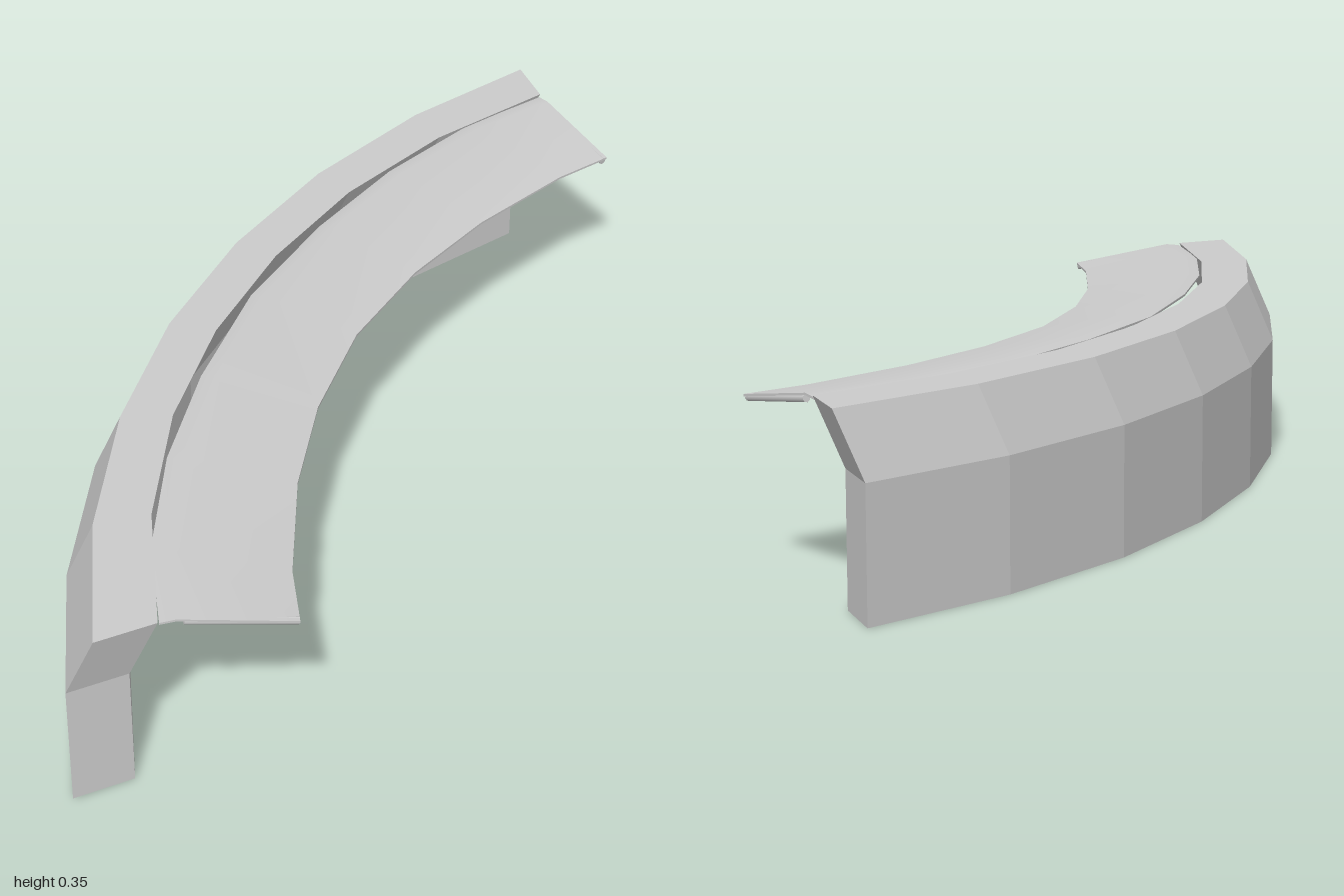
import * as THREE from 'three';
import { toCreasedNormals } from 'three/addons/utils/BufferGeometryUtils.js';

// Plan outlines from the middle to one end, as [x, z]
const WALL_OUTER = [[-0.295, 0.148], [-0.25, 0.44], [-0.157, 0.73], [-0.023, 0.993]];
const WALL_INNER = [[-0.207, 0.135], [-0.167, 0.4], [-0.08, 0.665], [0.05, 0.91]];
const ROOF_BACK = [[-0.148, 0], [-0.124, 0.27], [-0.076, 0.51], [0.005, 0.74], [0.1, 0.905]];
const ROOF_FRONT = [[0.065, 0], [0.088, 0.235], [0.142, 0.45], [0.228, 0.67], [0.29, 0.78]];
const LEAN = [0.05, -0.01]; // sideways offset of the wall top

// Mirror a half outline so it runs from -z to +z
function mirrored(half) {
  const other = half.filter(([, z]) => z > 0).reverse().map(([x, z]) => [x, -z]);
  return [...other, ...half];
}

// Skin a row of closed cross-sections and cap both ends (fan from corner 4)
function loft(sections) {
  const pos = [];
  const tri = (...pts) => pts.forEach((p) => pos.push(...p));
  const n = sections[0].length;
  for (let i = 0; i < sections.length - 1; i++) {
    const s = sections[i], t = sections[i + 1];
    for (let j = 0; j < n; j++) {
      const k = (j + 1) % n;
      tri(s[j], t[j], t[k]);
      tri(s[j], t[k], s[k]);
    }
  }
  const first = sections[0], last = sections[sections.length - 1];
  for (let m = 1; m < n - 1; m++) {
    const a = (4 + m) % n, b = (5 + m) % n;
    tri(first[4], first[a], first[b]);
    tri(last[4], last[b], last[a]);
  }
  const geo = new THREE.BufferGeometry();
  geo.setAttribute('position', new THREE.Float32BufferAttribute(pos, 3));
  geo.computeVertexNormals();
  return geo;
}

export function createModel() {
  const group = new THREE.Group();
  const flat = new THREE.MeshStandardMaterial({ color: 0xcccccc, flatShading: true });
  const smooth = new THREE.MeshStandardMaterial({ color: 0xcccccc, side: THREE.DoubleSide });

  // Curved wall: upright below, leaning inwards above
  const outer = mirrored(WALL_OUTER), inner = mirrored(WALL_INNER);
  const wallSections = outer.map(([ox, oz], i) => {
    const [ix, iz] = inner[i];
    return [
      [ox, 0, oz], [ox, 0.232, oz], [ox + LEAN[0], 0.348, oz + LEAN[1]],
      [ix + LEAN[0], 0.348, iz + LEAN[1]], [ix, 0.232, iz], [ix, 0, iz],
    ];
  });
  const wall = new THREE.Mesh(loft(wallSections), flat);
  wall.name = 'curvedWall';
  group.add(wall);

  // Thin sloping canopy along the hollow side, rounded over at its back edge
  const back = mirrored(ROOF_BACK), front = mirrored(ROOF_FRONT);
  const across = (i, t, y) => [
    THREE.MathUtils.lerp(back[i][0], front[i][0], t), y,
    THREE.MathUtils.lerp(back[i][1], front[i][1], t) + LEAN[1],
  ];
  const thick = 0.004;
  const roofSections = back.map((_, i) => {
    const rise = 0.004 * (1 - Math.abs(i - 4) / 4);
    const yBack = 0.344, yRidge = 0.347 + rise, yFront = 0.313;
    return [
      across(i, 0, yBack), across(i, 0.12, yRidge), across(i, 1, yFront),
      across(i, 1, yFront - thick), across(i, 0.12, yRidge - thick), across(i, 0, yBack - thick),
    ];
  });
  const canopy = new THREE.Mesh(toCreasedNormals(loft(roofSections), 0.6), smooth);
  canopy.name = 'canopy';
  group.add(canopy);

  // Support rods under the canopy
  const rods = new THREE.Group();
  rods.name = 'supportRods';
  back.forEach((_, i) => {
    const a = new THREE.Vector3(...across(i, 0.15, 0.335));
    const b = new THREE.Vector3(...across(i, 0.97, 0.307));
    // pull the end rods just inside the canopy edge
    if (i === 0 || i === 8) [a, b].forEach((p) => { p.z -= Math.sign(p.z) * 0.012; });
    const rod = new THREE.Mesh(new THREE.CylinderGeometry(0.007, 0.007, a.distanceTo(b), 8), smooth);
    rod.position.copy(a).add(b).multiplyScalar(0.5);
    rod.quaternion.setFromUnitVectors(new THREE.Vector3(0, 1, 0), b.clone().sub(a).normalize());
    rod.name = 'supportRod';
    rods.add(rod);
  });
  group.add(rods);
  return group;
}
